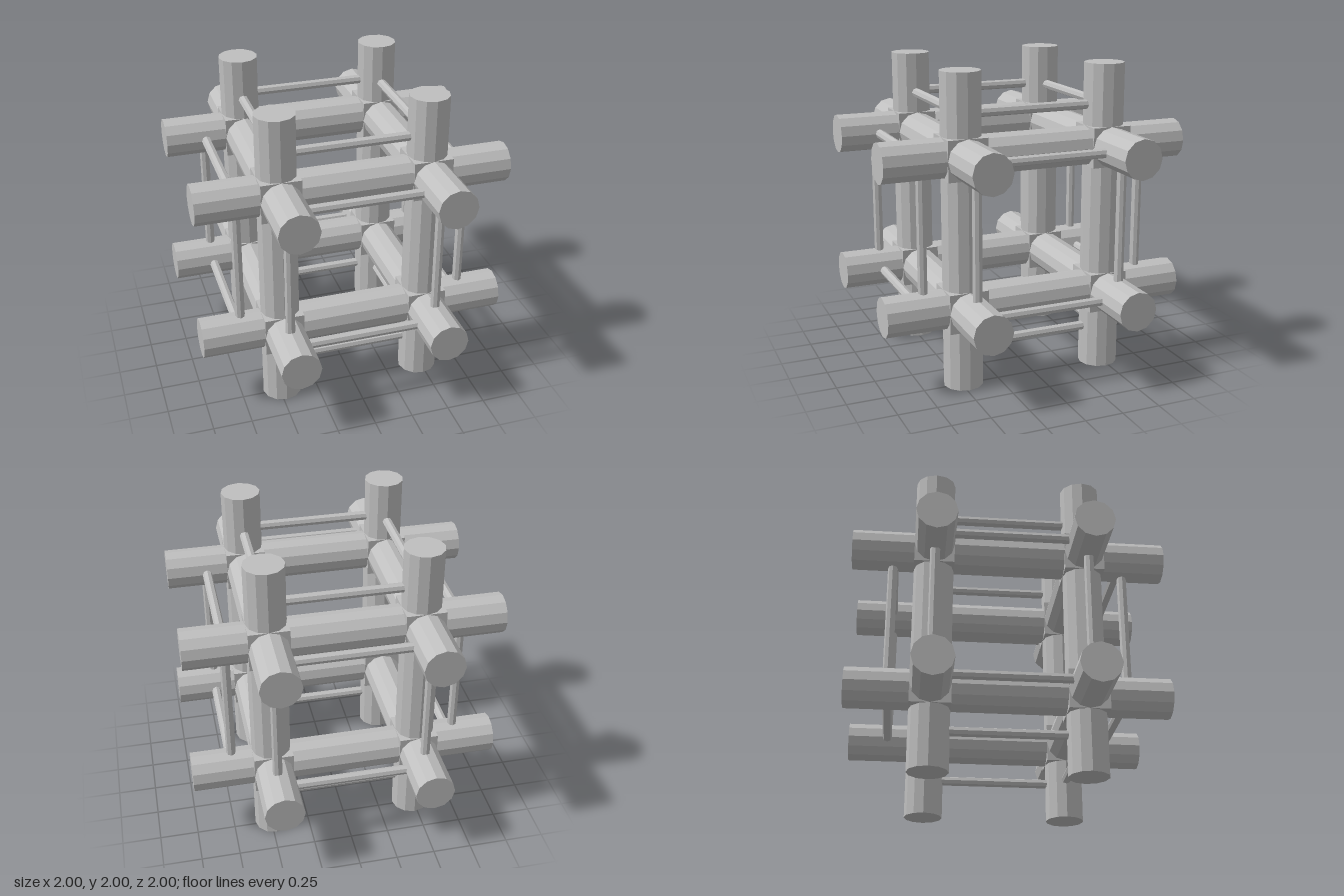
import * as THREE from 'three';

const OFFSET = 0.48;      // beam axis distance from the centre
const BEAM_R = 0.127;
const ROD_R = 0.031;
const ROD_OFFSET = 0.74;  // rods tie the protruding beam ends

export function createModel() {
  const grey = new THREE.MeshStandardMaterial({ color: 0xbfbfbf, flatShading: true });
  grey.name = 'grey';

  const model = new THREE.Group();
  model.name = 'beamLattice';
  const lattice = new THREE.Group();
  lattice.name = 'lattice';
  lattice.position.y = 1;
  model.add(lattice);

  const beamGeo = new THREE.CylinderGeometry(BEAM_R, BEAM_R, 2, 12);
  const rodGeo = new THREE.CylinderGeometry(ROD_R, ROD_R, 0.73, 8);
  const jointGeo = new THREE.BoxGeometry(2 * BEAM_R, 2 * BEAM_R, 2 * BEAM_R);
  const signs = [-1, 1];

  // Adds a bar whose length runs along the given axis (0 = x, 1 = y, 2 = z)
  function addBar(name, geometry, axis, position) {
    const bar = new THREE.Mesh(geometry, grey);
    bar.name = name;
    if (axis === 0) bar.rotation.z = -Math.PI / 2;
    if (axis === 2) bar.rotation.x = Math.PI / 2;
    bar.position.fromArray(position);
    lattice.add(bar);
  }

  for (let axis = 0; axis < 3; axis++) {
    const a = (axis + 1) % 3;
    const b = (axis + 2) % 3;
    for (const s of signs) {
      for (const t of signs) {
        // Four thick beams along each axis
        const p = [0, 0, 0];
        p[a] = s * OFFSET;
        p[b] = t * OFFSET;
        addBar('beam', beamGeo, axis, p);

        // Thin rods between the ends of neighbouring beams
        const q = [...p];
        q[a] = s * ROD_OFFSET;
        addBar('tieRod', rodGeo, axis, q);
        const r = [...p];
        r[b] = t * ROD_OFFSET;
        addBar('tieRod', rodGeo, axis, r);
      }
    }
  }

  // Cube blocks where three beams cross
  for (const x of signs) for (const y of signs) for (const z of signs) {
    const joint = new THREE.Mesh(jointGeo, grey);
    joint.name = 'jointBlock';
    joint.position.set(x, y, z).multiplyScalar(OFFSET);
    lattice.add(joint);
  }

  return model;
}
